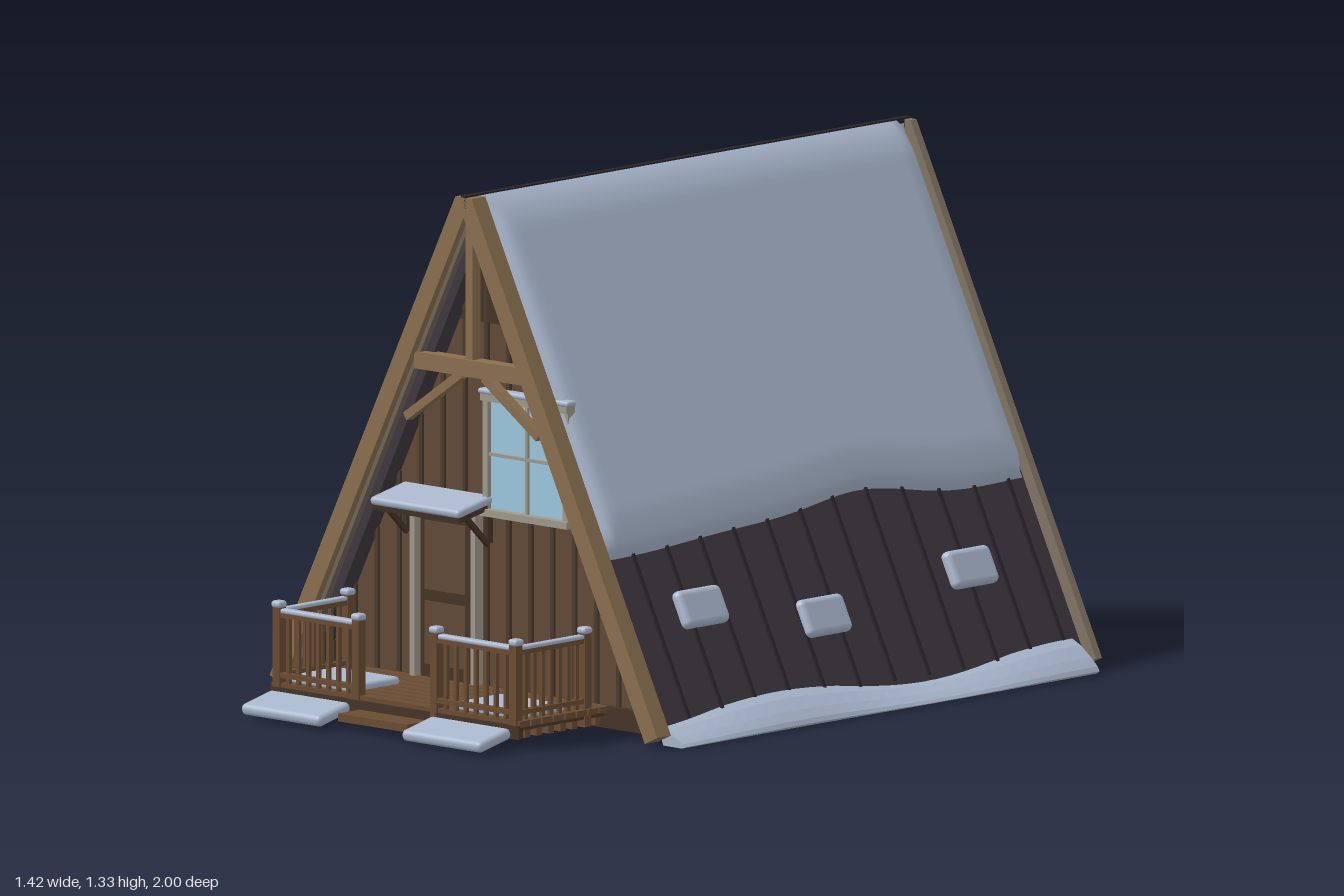
import * as THREE from 'three';
import { RoundedBoxGeometry } from 'three/addons/geometries/RoundedBoxGeometry.js';

const K = 0.496;                       // half-width gained per unit of drop
const TILT = Math.atan(K);             // angle of the roof normal
const NX = Math.cos(TILT), NY = Math.sin(TILT);
const ROOF = 1.31;                     // apex of the outer roof surface
const WALL_Z = 0.53;

const mat = (color, side = THREE.FrontSide) => new THREE.MeshStandardMaterial({ color, side });
const M = {
  trim: mat(0x8a6f4e), greyTrim: mat(0x6e6458), backTrim: mat(0x827464), wall: mat(0x604937), batten: mat(0x4b3a2c),
  backWall: mat(0x46372f), roof: mat(0x3e373e), seam: mat(0x2a2529), snow: mat(0xa8b6cc, THREE.DoubleSide),
  floor: mat(0x4f474d), deck: mat(0x6b4c33), dark: mat(0x463428), frame: mat(0xa09a8c), glass: mat(0x9cc8e0),
};

export function createModel() {
  const root = new THREE.Group();
  root.name = 'aFrameCabin';

  const add = (name, geo, m, x = 0, y = 0, z = 0, rz = 0) => {
    const mesh = new THREE.Mesh(geo, m);
    mesh.name = name;
    mesh.position.set(x, y, z);
    mesh.rotation.z = rz;
    root.add(mesh);
    return mesh;
  };
  // box given by its extents
  const box = (name, m, x0, x1, y0, y1, z0, z1) =>
    add(name, new THREE.BoxGeometry(x1 - x0, y1 - y0, z1 - z0), m, (x0 + x1) / 2, (y0 + y1) / 2, (z0 + z1) / 2);
  // soft snow block given by its extents
  const drift = (name, x0, x1, y0, y1, z0, z1) => {
    const w = x1 - x0, h = y1 - y0, d = z1 - z0;
    return add(name, new RoundedBoxGeometry(w, h, d, 3, Math.min(w, h, d) * 0.45), M.snow,
      (x0 + x1) / 2, (y0 + y1) / 2, (z0 + z1) / 2);
  };
  const prism = (name, m, pts, z0, z1) => {
    const shape = new THREE.Shape(pts.map(p => new THREE.Vector2(...p)));
    return add(name, new THREE.ExtrudeGeometry(shape, { depth: z1 - z0, bevelEnabled: false }), m, 0, 0, z0);
  };
  // inverted V between two apex heights, with its tip cut flat
  const chevron = (name, m, outer, inner, top, z0, z1) => {
    const yo = 0.012 + (outer - inner) * 0.19;
    const half = [[(outer - top) * K, top], [(outer - yo) * K, yo], [(inner - 0.012) * K, 0.012]];
    const left = half.map(([x, y]) => [-x, y]).reverse();
    prism(name, m, [...half, [0, inner], ...left], z0, z1);
  };

  // Roof slab and gable boards
  chevron('roof', M.roof, ROOF, 1.195, 1.305, -0.98, 0.58);
  chevron('frontBargeBoard', M.trim, 1.385, 1.277, 1.328, 0.57, 0.62);
  chevron('frontInnerTrim', M.greyTrim, 1.28, 1.252, 1.279, 0.56, 0.6);
  chevron('backBargeBoard', M.backTrim, 1.385, 1.277, 1.328, -1, -0.978);
  box('ridgeCap', M.seam, -0.008, 0.008, 1.29, 1.333, -1, 0.62);

  // Gable walls and floor
  const tri = (apex, y) => [[-(apex - y) * K, y], [(apex - y) * K, y], [0, apex]];
  prism('frontWall', M.wall, tri(1.22, 0.03), WALL_Z - 0.03, WALL_Z);
  prism('backWall', M.backWall, tri(1.22, 0.03), -0.955, -0.925);
  prism('gableVent', M.dark, tri(1.18, 1.0), WALL_Z, WALL_Z + 0.008);
  box('floor', M.floor, -0.6, 0.6, 0.02, 0.05, -0.955, WALL_Z);
  box('wallBase', M.dark, -0.57, 0.57, 0.02, 0.075, WALL_Z - 0.02, WALL_Z + 0.02);
  for (let i = -7; i <= 7; i++) {
    const x = i * 0.076, top = 1.2 - Math.abs(x) / K;
    if (top > 0.1) box('frontBatten', M.batten, x - 0.006, x + 0.006, 0.05, top, WALL_Z, WALL_Z + 0.008);
  }
  for (let i = -3; i <= 3; i++) {
    const x = i * 0.15;
    box('backBatten', M.batten, x - 0.006, x + 0.006, 0.03, 1.2 - Math.abs(x) / K, -0.963, -0.955);
  }

  // Snow sheet over the upper roof: closes on the ridge, thins out towards its wavy lower edge
  const snowSheet = s => {
    const g = new THREE.PlaneGeometry(1, 1, 50, 60), p = g.attributes.position;
    for (let i = 0; i < p.count; i++) {
      const t = p.getX(i) + 0.5, v = p.getY(i) + 0.5;
      const z = s > 0 ? 0.575 - v * 1.55 : -0.975 + v * 1.55;
      const low = 0.455 + 0.055 * Math.exp(-(((z + 0.42) / 0.25) ** 2)) + 0.01 * Math.cos(z * 6);
      const y = 1.295 + (low - 1.295) * t;
      const edge = Math.min((1 - t) * 0.45, v * 1.55, (1 - v) * 1.55);
      const h = 0.047 * Math.sqrt(1 - (1 - Math.min(1, edge / 0.06)) ** 2) - 0.001;
      const w = Math.min(1, t / 0.07), blend = w * (2 - w);
      p.setXYZ(i,
        s * THREE.MathUtils.lerp(0.006, (ROOF - y) * K + NX * h, blend),
        THREE.MathUtils.lerp(1.33, y + NY * h, blend), z);
    }
    g.computeVertexNormals();
    return g;
  };
  // Snow along the eave, its upper edge rising and falling
  const eaveSnow = s => {
    const pts = [[0.615, 0.07], [0.645, 0.058], [0.68, 0.036], [0.703, 0.018], [0.71, 0.008], [0.7, 0.002], [0.635, 0.002]];
    const shape = new THREE.Shape(pts.map(([x, y]) => new THREE.Vector2(s * x, y)));
    const g = new THREE.ExtrudeGeometry(shape, { depth: 1.51, steps: 30, bevelEnabled: false });
    const p = g.attributes.position;
    for (let i = 0; i < p.count; i++) {
      const z = p.getZ(i) - 0.95;
      p.setXYZ(i, p.getX(i), p.getY(i) * (0.92 + 0.25 * Math.cos((z - 0.12) * 6)), z);
    }
    g.computeVertexNormals();
    return g;
  };

  for (const s of [-1, 1]) {
    add('upperRoofSnow', snowSheet(s), M.snow);
    add('eaveSnow', eaveSnow(s), M.snow);
    // standing seams
    for (let z = 0.455; z > -0.95; z -= 0.125)
      add('roofSeam', new THREE.BoxGeometry(0.012, 1.37, 0.01), M.seam,
        s * (ROOF - 0.67) * K, 0.67, z, s * TILT);
    // loose snow patches
    for (const [z, y] of [[0.29, 0.305], [-0.12, 0.235], [-0.68, 0.285]])
      add('snowPatch', new RoundedBoxGeometry(0.036, 0.1, 0.16, 4, 0.017), M.snow,
        s * ((ROOF - y) * K + 0.009), y, z, s * TILT);
  }

  // Gable truss
  box('collarBeam', M.trim, -0.185, 0.185, 0.87, 0.913, 0.565, 0.605);
  box('kingPost', M.trim, -0.012, 0.012, 0.9, 1.26, 0.57, 0.6);
  for (const s of [-1, 1])
    add('trussBrace', new THREE.BoxGeometry(0.23, 0.022, 0.025), M.trim, s * 0.135, 0.805, 0.58, -s * 0.6);

  // Door with frame, panels and canopy
  box('door', M.dark, -0.215, -0.045, 0.07, 0.51, WALL_Z, WALL_Z + 0.016);
  for (const [y0, y1] of [[0.3, 0.475], [0.11, 0.27]])
    box('doorPanel', M.wall, -0.2, -0.06, y0, y1, WALL_Z + 0.01, WALL_Z + 0.022);
  for (const x of [-0.235, -0.025]) box('doorJamb', M.frame, x - 0.008, x + 0.008, 0.07, 0.52, WALL_Z, WALL_Z + 0.03);
  box('canopy', M.dark, -0.28, 0.02, 0.517, 0.531, WALL_Z, 0.658).rotation.x = 0.2;
  drift('canopySnow', -0.285, 0.025, 0.529, 0.551, WALL_Z, 0.665).rotation.x = 0.2;
  for (const x of [-0.27, 0.01]) {
    box('canopyBracket', M.dark, x - 0.007, x + 0.007, 0.44, 0.53, WALL_Z, WALL_Z + 0.02);
    box('canopyStrut', M.dark, x - 0.006, x + 0.006, 0.42, 0.53, 0.575, 0.588).rotation.x = 0.8;
  }

  // Window
  box('windowGlass', M.glass, 0.015, 0.29, 0.53, 0.82, WALL_Z, WALL_Z + 0.012);
  for (const x of [0.012, 0.29]) box('windowJamb', M.frame, x - 0.009, x + 0.009, 0.52, 0.82, WALL_Z, WALL_Z + 0.024);
  box('windowMullion', M.frame, 0.147, 0.155, 0.53, 0.81, WALL_Z, WALL_Z + 0.02);
  box('windowBar', M.frame, 0.02, 0.285, 0.665, 0.673, WALL_Z, WALL_Z + 0.02);
  box('windowLintel', M.frame, 0, 0.3, 0.805, 0.825, WALL_Z, WALL_Z + 0.03);
  box('windowSill', M.frame, 0, 0.305, 0.512, 0.53, WALL_Z, WALL_Z + 0.035);
  drift('lintelSnow', -0.005, 0.308, 0.823, 0.837, WALL_Z, WALL_Z + 0.035);

  // Deck boards, joists and step
  box('deckFrame', M.dark, -0.42, 0.42, 0.05, 0.062, WALL_Z, 0.86);
  for (let i = 0; i < 8; i++) {
    const z = WALL_Z + 0.01 + i * 0.0415;
    box('deckBoard', M.deck, -0.43, 0.43, 0.06, 0.076, z, z + 0.036);
  }
  for (let i = 0; i < 7; i++) box('deckJoist', M.deck, -0.42, 0.42, 0.03, 0.052, 0.56 + i * 0.043, 0.58 + i * 0.043);
  box('deckFascia', M.dark, -0.43, 0.43, 0.03, 0.065, 0.855, 0.872);
  box('step', M.deck, -0.12, 0.12, 0.022, 0.042, 0.87, 0.95);

  // Railings, mirrored about the step
  const RZ = 0.86;
  for (const s of [-1, 1]) {
    const span = (name, m, a, b, ...rest) => box(name, m, Math.min(s * a, s * b), Math.max(s * a, s * b), ...rest);
    for (const [x, z] of [[0.41, RZ], [0.135, RZ], [0.41, 0.61]]) {
      span('railPost', M.deck, x - 0.012, x + 0.012, 0.03, 0.27, z - 0.012, z + 0.012);
      drift('postSnow', s * x - 0.016, s * x + 0.016, 0.266, 0.284, z - 0.016, z + 0.016);
    }
    for (const y of [0.09, 0.243]) {
      span('frontRail', M.deck, 0.135, 0.41, y, y + 0.012, RZ - 0.01, RZ + 0.01);
      span('sideRail', M.deck, 0.4, 0.42, y, y + 0.012, 0.6, RZ);
    }
    const mid = s * 0.2725;
    drift('frontRailSnow', mid - 0.125, mid + 0.125, 0.253, 0.266, RZ - 0.012, RZ + 0.012);
    drift('sideRailSnow', s * 0.41 - 0.011, s * 0.41 + 0.011, 0.253, 0.265, 0.62, RZ - 0.01);
    for (let i = 1; i <= 7; i++) {
      const x = 0.135 + i * 0.0344, z = 0.61 + i * 0.031;
      span('frontBaluster', M.deck, x - 0.005, x + 0.005, 0.07, 0.245, RZ - 0.005, RZ + 0.005);
      span('sideBaluster', M.deck, 0.405, 0.415, 0.07, 0.245, z - 0.005, z + 0.005);
    }
    // snow on the deck and sloping off its front
    drift('deckSnow', s * 0.285 - 0.112, s * 0.285 + 0.112, 0.07, 0.094, 0.665, 0.84);
    drift('groundSnow', s * 0.278 - 0.138, s * 0.278 + 0.138, 0.019, 0.049, 0.878, 0.998).rotation.x = 0.22;
  }
  return root;
}
